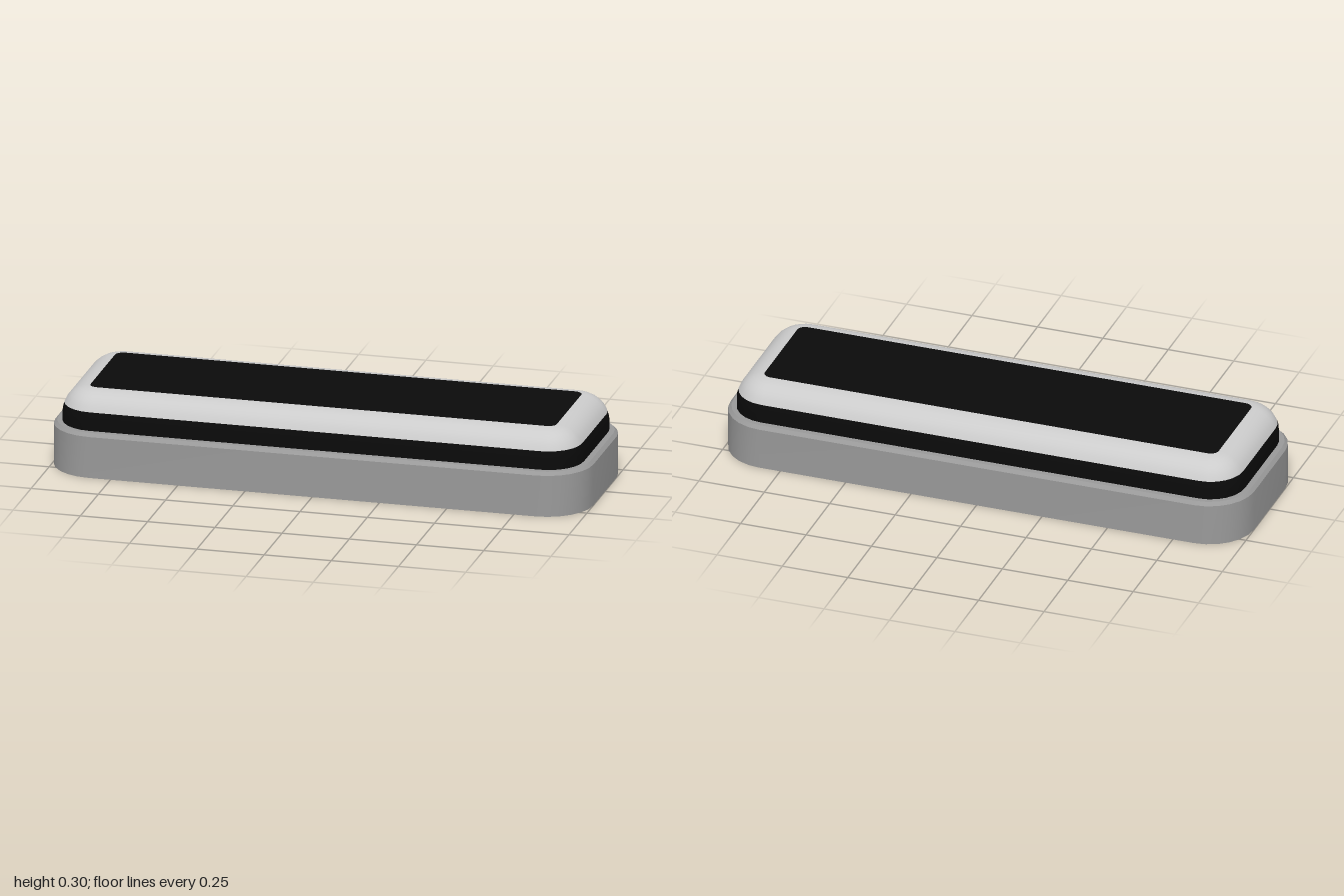
import * as THREE from 'three';
import { toCreasedNormals } from 'three/addons/utils/BufferGeometryUtils.js';

const CORNER_STEPS = 6;

// Rounded-rectangle outline, counter-clockwise seen from below
function outline(hx, hz, r) {
  const pts = [];
  const centres = [[1, 1], [-1, 1], [-1, -1], [1, -1]];
  centres.forEach(([sx, sz], q) => {
    for (let i = 0; i <= CORNER_STEPS; i++) {
      const a = (q + i / CORNER_STEPS) * Math.PI / 2;
      pts.push([sx * (hx - r) + r * Math.cos(a), sz * (hz - r) + r * Math.sin(a)]);
    }
  });
  return pts;
}

// Stacks inset outlines along a profile of [inset, y], with optional flat caps
function loft(hx, hz, r, profile, capBottom, capTop) {
  const pos = [], index = [];
  let n = 0;
  for (const [inset, y] of profile) {
    const ring = outline(hx - inset, hz - inset, r - inset);
    n = ring.length;
    for (const [x, z] of ring) pos.push(x, y, z);
  }
  const last = (profile.length - 1) * n;
  const bottom = pos.length / 3, top = bottom + 1;
  pos.push(0, profile[0][1], 0, 0, profile[profile.length - 1][1], 0);
  for (let i = 0; i < n; i++) {
    const j = (i + 1) % n;
    for (let k = 0; k < last; k += n) {
      index.push(k + i, k + n + i, k + j, k + j, k + n + i, k + n + j);
    }
    if (capBottom) index.push(bottom, i, j);
    if (capTop) index.push(top, last + j, last + i);
  }
  const g = new THREE.BufferGeometry();
  g.setAttribute('position', new THREE.Float32BufferAttribute(pos, 3));
  g.setIndex(index);
  return toCreasedNormals(g, Math.PI / 5);
}

// Quarter-round profile of the upper body between two angles
function roundEdge(from, to, steps) {
  const R = 0.1, pts = [];
  for (let i = 0; i <= steps; i++) {
    const a = from + (to - from) * i / steps;
    pts.push([R * (1 - Math.cos(a)), 0.2 + R * Math.sin(a)]);
  }
  return pts;
}

export function createModel() {
  const group = new THREE.Group();
  const add = (name, geometry, color) => {
    const mesh = new THREE.Mesh(geometry, new THREE.MeshStandardMaterial({ color }));
    mesh.name = name;
    group.add(mesh);
  };
  const split = Math.asin(0.35); // where the dark band meets the light shell

  // Base tray with a chamfered top edge
  add('base', loft(1, 0.333, 0.17, [[0, 0], [0, 0.155], [0.012, 0.167]], true, true), 0x999999);

  // Dark band around the upper body
  add('sideBand', loft(0.967, 0.3, 0.13,
    [[0, 0.16], ...roundEdge(0, split, 2)], false, false), 0x0a0a0a);

  // Light rounded shell
  add('shell', loft(0.967, 0.3, 0.13, roundEdge(split, Math.PI / 2, 6), false, false), 0xcccccc);

  // Dark flat panel on top
  add('topPanel', loft(0.867, 0.2, 0.03, [[0, 0.298], [0, 0.3]], false, true), 0x0a0a0a);

  return group;
}
